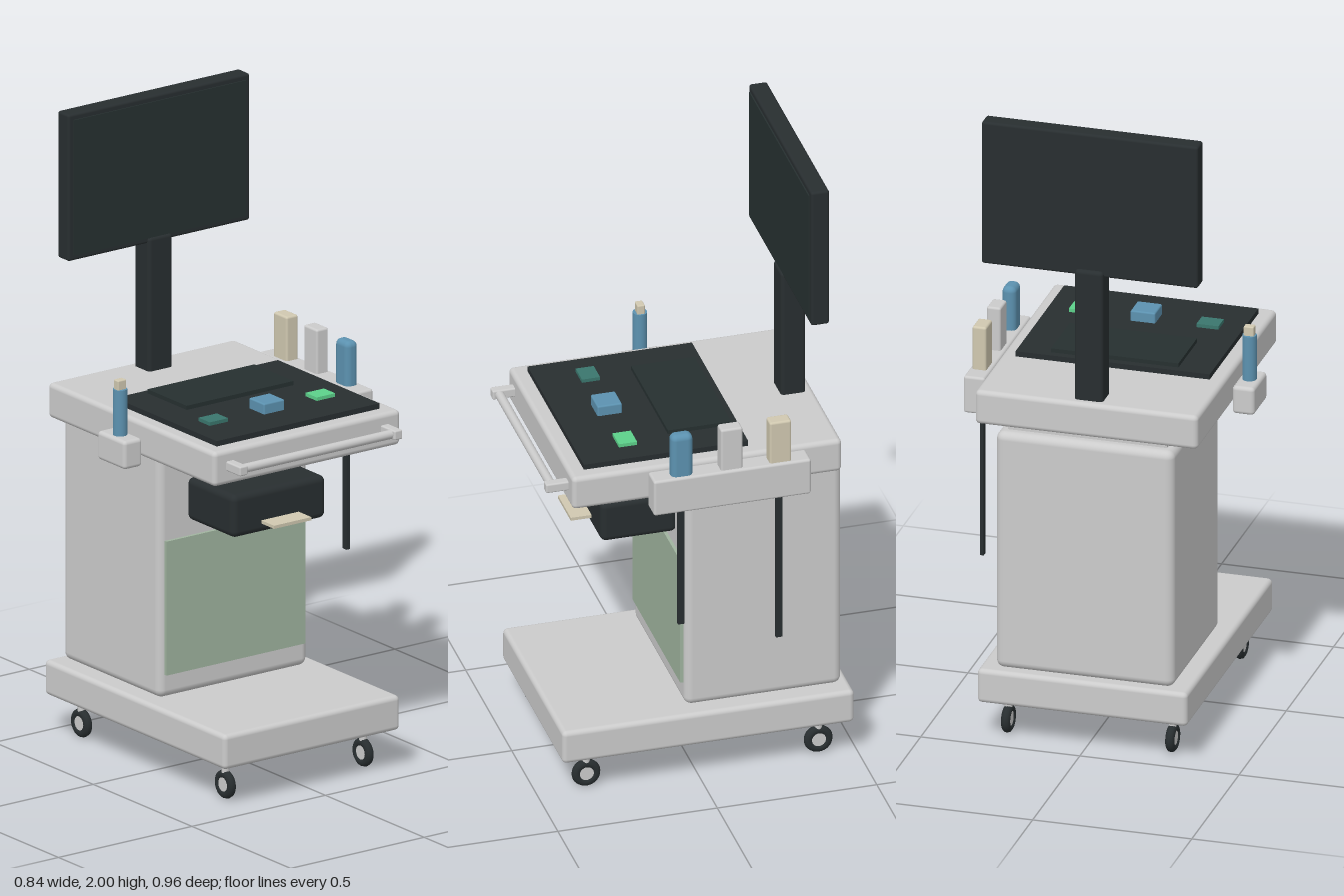
import * as THREE from 'three';
import { RoundedBoxGeometry } from 'three/addons/geometries/RoundedBoxGeometry.js';

const mat = (color) => new THREE.MeshStandardMaterial({ color });

export function createModel() {
  const root = new THREE.Group();
  root.name = 'medicalCart';
  const grey = mat(0xcccccc), dark = mat(0x282e30), screen = mat(0x263030);
  const blue = mat(0x5c92b0), beige = mat(0xd0c8b0), sage = mat(0xa0b49f);
  const teal = mat(0x3a766d), green = mat(0x5cd08a);

  const add = (name, geometry, material, x = 0, y = 0, z = 0, parent = root) => {
    const m = new THREE.Mesh(geometry, material);
    m.name = name;
    m.position.set(x, y, z);
    parent.add(m);
    return m;
  };
  // Box given by its [min, max] on each axis; r > 0 rounds the edges
  const box = (name, material, [x0, x1], [y0, y1], [z0, z1], r = 0) => {
    const s = [x1 - x0, y1 - y0, z1 - z0];
    const g = r ? new RoundedBoxGeometry(...s, 3, r) : new THREE.BoxGeometry(...s);
    return add(name, g, material, (x0 + x1) / 2, (y0 + y1) / 2, (z0 + z1) / 2);
  };

  // Wheeled base and cabinet
  box('base', grey, [-0.33, 0.33], [0.125, 0.235], [-0.48, 0.435], 0.015);
  box('cabinet', grey, [-0.28, 0.28], [0.235, 1.01], [-0.455, 0.037], 0.025);
  box('cabinetNeck', grey, [-0.25, 0.25], [0.99, 1.03], [-0.42, 0.0]);
  box('frontPanel', sage, [-0.26, 0.26], [0.31, 0.735], [0.03, 0.047]);

  // Casters
  const tyre = new THREE.TorusGeometry(0.031, 0.014, 10, 28).rotateY(Math.PI / 2);
  const hub = new THREE.CylinderGeometry(0.024, 0.024, 0.02, 20).rotateZ(Math.PI / 2);
  const stem = new THREE.CylinderGeometry(0.012, 0.012, 0.055, 12);
  for (const x of [-0.258, 0.258]) for (const z of [0.342, -0.386]) {
    const caster = new THREE.Group();
    caster.name = 'caster';
    caster.position.set(x, 0.045, z);
    add('tyre', tyre, dark, 0, 0, 0, caster);
    add('hub', hub, grey, 0, 0, 0, caster);
    add('stem', stem, grey, 0, 0.058, 0, caster);
    root.add(caster);
  }

  // Printer with paper strip
  box('printer', dark, [-0.175, 0.175], [0.785, 0.92], [0.03, 0.27], 0.02);
  box('paper', beige, [-0.07, 0.07], [0.815, 0.825], [0.2, 0.335]);

  // Desk with front push handle
  box('desk', grey, [-0.35, 0.35], [1.02, 1.13], [-0.435, 0.41], 0.015);
  for (const s of [-1, 1]) {
    const a = s * 0.29;
    box('handleBracket', grey, [a - 0.015, a + 0.015], [1.065, 1.095], [0.4, 0.48], 0.005);
  }
  add('handleBar', new THREE.CylinderGeometry(0.014, 0.014, 0.56, 16).rotateZ(Math.PI / 2),
    grey, 0, 1.08, 0.458);

  // Control panel
  box('controlPanel', dark, [-0.305, 0.305], [1.125, 1.147], [-0.153, 0.362]);
  box('touchScreen', screen, [-0.2, 0.2], [1.14, 1.16], [-0.13, 0.068]);
  box('mainButton', blue, [-0.039, 0.039], [1.14, 1.18], [0.165, 0.242], 0.005);
  box('tealButton', teal, [-0.235, -0.166], [1.14, 1.158], [0.175, 0.232]);
  box('greenButton', green, [0.166, 0.235], [1.14, 1.158], [0.175, 0.232]);

  // Monitor on its column
  box('monitorColumn', dark, [-0.045, 0.045], [1.12, 1.555], [-0.41, -0.332], 0.012);
  box('monitor', dark, [-0.34, 0.34], [1.535, 2.0], [-0.398, -0.341], 0.008);
  box('monitorScreen', screen, [-0.322, 0.322], [1.552, 1.982], [-0.345, -0.337]);

  // Probe rack on the model's left side, with probes and hanging cables
  box('probeRack', grey, [0.353, 0.42], [1.0, 1.12], [-0.318, 0.175], 0.008);
  box('rackMount', grey, [0.33, 0.36], [1.04, 1.1], [-0.26, 0.12]);
  const probes = [[0.082, blue, 0.018], [-0.072, grey, 0.007], [-0.225, beige, 0.007]];
  for (const [z, m, r] of probes)
    box('probe', m, [0.366, 0.41], [1.1, 1.26], [z - 0.034, z + 0.034], r);
  for (const [z, y] of [[0.082, 0.595], [-0.225, 0.5]])
    box('probeCable', dark, [0.381, 0.393], [y, 1.01], [z - 0.01, z + 0.01]);

  // Pen holder on the opposite side
  box('penHolder', grey, [-0.424, -0.355], [0.995, 1.085], [-0.085, 0.055], 0.012);
  box('holderMount', grey, [-0.36, -0.335], [1.035, 1.07], [-0.06, 0.03]);
  add('pen', new THREE.CylinderGeometry(0.022, 0.022, 0.16, 20), blue, -0.389, 1.15, -0.014);
  box('penTip', beige, [-0.405, -0.373], [1.22, 1.26], [-0.026, -0.002], 0.004);

  return root;
}
